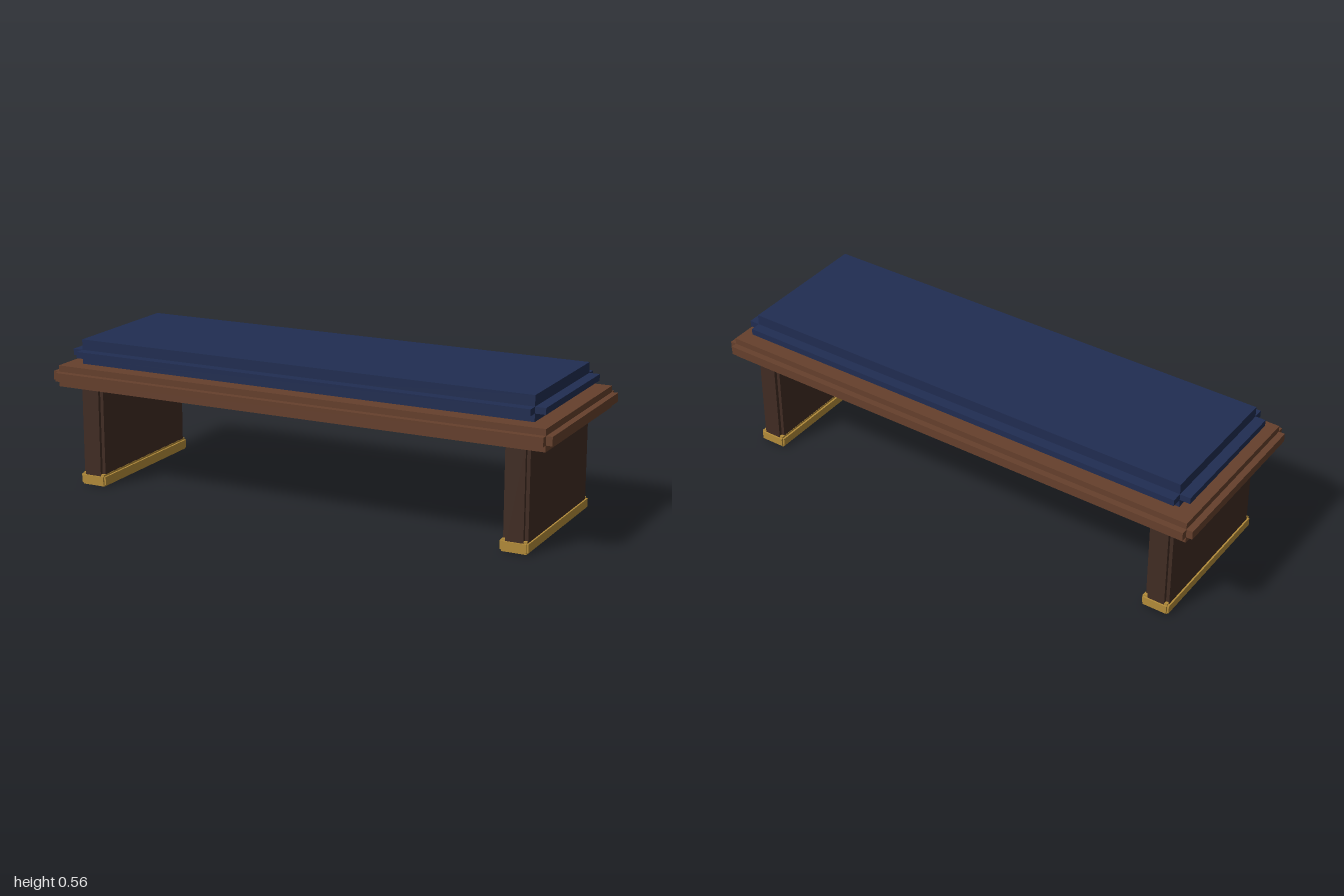
import * as THREE from 'three';

const mat = (name, color) => {
  const m = new THREE.MeshStandardMaterial({ color });
  m.name = name;
  return m;
};

// A block with stepped edges: three crossing boxes, each full size along one axis only
function steppedBlock(name, material, [x0, x1], [y0, y1], depth, step) {
  const group = new THREE.Group();
  group.name = name;
  const size = [x1 - x0, y1 - y0, depth];
  ['Sides', 'Body', 'Ends'].forEach((label, axis) => {
    const dims = size.map((s, i) => (i === axis ? s : s - 2 * step));
    const mesh = new THREE.Mesh(new THREE.BoxGeometry(...dims), material);
    mesh.name = name + label;
    group.add(mesh);
  });
  group.position.set((x0 + x1) / 2, (y0 + y1) / 2, 0);
  return group;
}

export function createModel() {
  const wood = mat('brown wood', 0x66402c);
  const darkWood = mat('dark wood', 0x412c23);
  const brass = mat('brass', 0xb48c3a);
  const fabric = mat('navy fabric', 0x202d52);

  const bench = new THREE.Group();
  bench.name = 'bench';

  // Seat board and the cushion sunk slightly into it
  bench.add(steppedBlock('seat', wood, [-1, 1], [0.384, 0.465], 0.705, 0.024));
  bench.add(steppedBlock('cushion', fabric, [-0.95, 0.95], [0.455, 0.559], 0.61, 0.04));

  // Slab legs running down through brass feet
  for (const [side, s] of [['left', 1], ['right', -1]]) {
    const span = (a, b) => (s > 0 ? [a, b] : [-b, -a]);
    bench.add(steppedBlock(side + 'Leg', darkWood, span(0.813, 0.906), [0, 0.4], 0.588, 0.013));
    bench.add(steppedBlock(side + 'Foot', brass, span(0.805, 0.912), [0.001, 0.047], 0.6, 0.007));
  }
  return bench;
}
